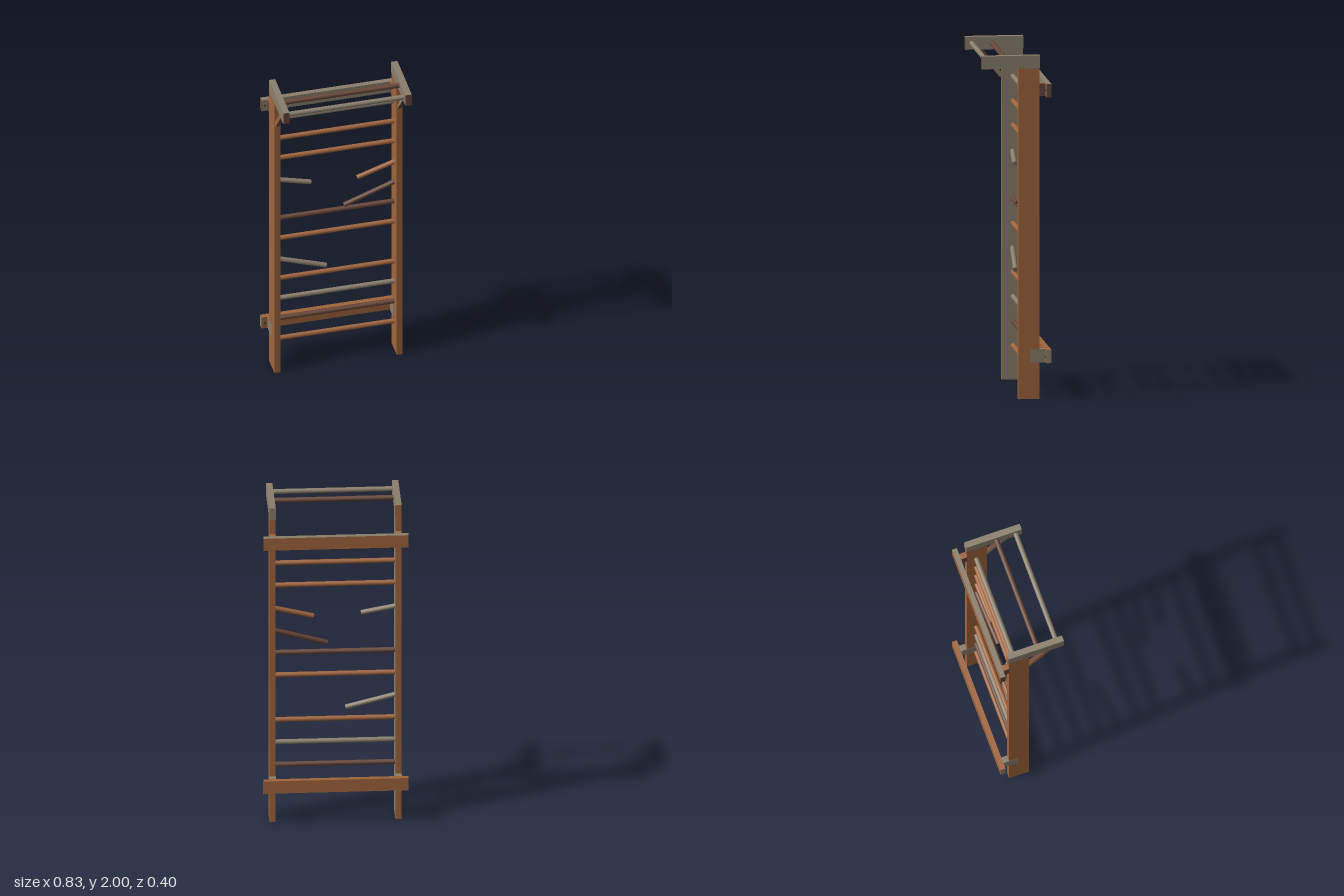
import * as THREE from 'three';

const paint = (name, color) => {
  const m = new THREE.MeshStandardMaterial({ color });
  m.name = name;
  return m;
};

export function createModel() {
  const model = new THREE.Group();
  model.name = 'wallBars';
  const tan = paint('orangeWood', 0xa0653d);
  const grey = paint('weatheredWood', 0x8b7f6d);
  const dark = paint('darkWood', 0x684738);
  const iron = paint('boltIron', 0x3c3834);

  // Box from its limits; an array of materials colours +x, -x, +y, -y, +z, -z
  const box = (name, [x0, x1], [y0, y1], [z0, z1], mat) => {
    const mesh = new THREE.Mesh(new THREE.BoxGeometry(x1 - x0, y1 - y0, z1 - z0), mat);
    mesh.position.set((x0 + x1) / 2, (y0 + y1) / 2, (z0 + z1) / 2);
    mesh.name = name;
    model.add(mesh);
    return mesh;
  };

  // Round bar between two points
  const bar = (name, a, b, mat, r = 0.0145) => {
    const p = new THREE.Vector3(...a), q = new THREE.Vector3(...b);
    const dir = q.clone().sub(p);
    const mesh = new THREE.Mesh(new THREE.CylinderGeometry(r, r, dir.length(), 12), mat);
    mesh.position.copy(p).add(q).multiplyScalar(0.5);
    mesh.quaternion.setFromUnitVectors(new THREE.Vector3(0, 1, 0), dir.normalize());
    mesh.name = name;
    model.add(mesh);
  };

  for (const s of [-1, 1]) {
    const side = s > 0 ? 'left' : 'right';
    const span = (a, b) => (s > 0 ? [a, b] : [-b, -a]);

    // Upright and the arm on its top
    box(side + 'Post', span(0.345, 0.38), [0, 1.925], [-0.135, -0.012],
      [s > 0 ? tan : grey, tan, tan, dark, tan, tan]);
    box(side + 'TopArm', span(0.344, 0.381), [1.925, 2], [-0.138, 0.2],
      [grey, grey, grey, grey, dark, s > 0 ? grey : tan]);

    // Diagonal brace under the arm
    const profile = new THREE.Shape([[0.13, 1.925], [0.099, 1.925], [-0.014, 1.782], [-0.014, 1.752]]
      .map(([z, y]) => new THREE.Vector2(-z, y)));
    const geo = new THREE.ExtrudeGeometry(profile, { depth: 0.024, bevelEnabled: false });
    geo.rotateY(Math.PI / 2).translate(s * 0.3625 - 0.012, 0, 0);
    const brace = new THREE.Mesh(geo, s > 0 ? [grey, dark] : [dark, dark]);
    brace.name = side + 'Brace';
    model.add(brace);
    if (s < 0) box('rightBraceSide', [0, 0.002], [0, 0.026], [0, 0.2], tan)
      .position.set(-0.3755, 1.845, 0.05);
    if (s < 0) model.children[model.children.length - 1].rotation.x = -Math.atan2(0.16, 0.128);

    // Spacers between post and rails
    box(side + 'UpperSpacer', span(0.345, 0.38), [1.762, 1.835], [-0.17, -0.135],
      [dark, dark, tan, dark, tan, tan]);
    box(side + 'LowerSpacer', span(0.344, 0.381), [0.212, 0.29], [-0.17, -0.08], grey);

    // Bolt heads
    for (const y of [1.8, 0.25]) {
      bar(side + 'Bolt', [s * 0.399, y, -0.172], [s * 0.399, y, -0.165], iron, 0.006);
    }
  }

  // Rails behind the posts
  box('upperRail', [-0.417, 0.417], [1.76, 1.837], [-0.2, -0.17], [dark, dark, grey, tan, grey, tan]);
  box('lowerRail', [-0.417, 0.417], [0.212, 0.29], [-0.2, -0.17], [grey, grey, tan, tan, tan, tan]);

  // Whole rungs
  const rungs = [[0.198, tan], [0.34, dark], [0.483, grey], [0.625, tan], [0.91, tan],
    [1.053, dark], [1.482, tan], [1.623, tan], [1.766, grey]];
  for (const [y, mat] of rungs) bar('rung', [-0.346, y, -0.077], [0.346, y, -0.077], mat);

  // Pull-up bars between the arms
  bar('frontPullBar', [-0.346, 1.963, 0.163], [0.346, 1.963, 0.163], grey);
  bar('middlePullBar', [-0.346, 1.963, 0.046], [0.346, 1.963, 0.046], dark);

  // Broken rungs, sagging from one post
  bar('brokenRung', [-0.348, 1.33, -0.075], [-0.152, 1.287, -0.062], grey);
  bar('brokenRung', [0.348, 1.335, -0.075], [0.122, 1.272, -0.06], tan);
  bar('brokenRung', [0.348, 1.193, -0.075], [0.042, 1.097, -0.051], dark);
  bar('brokenRung', [-0.348, 0.767, -0.075], [-0.063, 0.684, -0.054], grey);

  return model;
}
